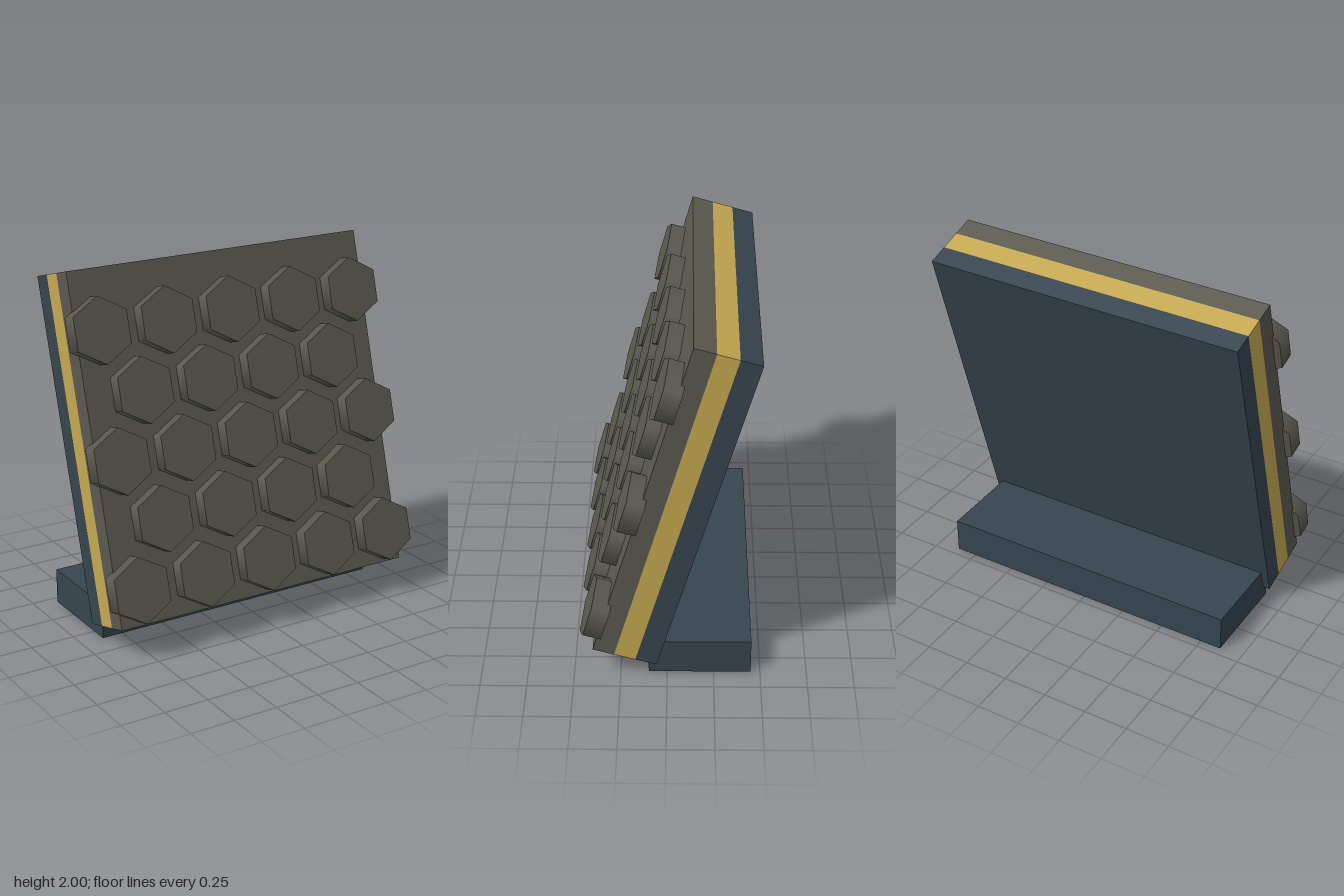
import * as THREE from 'three';

const mat = (name, color) => {
  const m = new THREE.MeshStandardMaterial({ color });
  m.name = name;
  return m;
};

export function createModel() {
  const group = new THREE.Group();
  group.name = 'layeredArmorPanel';
  const grey = mat('olive grey', 0x5b5a50);
  const gold = mat('brass', 0xc5a950);
  const slate = mat('dark slate', 0x36454f);

  const add = (parent, name, geometry, material, x, y, z) => {
    const mesh = new THREE.Mesh(geometry, material);
    mesh.name = name;
    mesh.position.set(x, y, z);
    parent.add(mesh);
    return mesh;
  };

  // Foot block behind the panel
  add(group, 'base', new THREE.BoxGeometry(1.74, 0.2, 0.55), slate, 0, 0.1, -0.175);

  // Panel leaning back, made of three bonded layers
  const panel = new THREE.Group();
  panel.name = 'leaningPanel';
  panel.position.set(0, 1.04, -0.035);
  panel.rotation.x = -0.28;
  group.add(panel);

  const thick = 0.118;
  const layer = new THREE.BoxGeometry(1.82, 1.9, thick);
  add(panel, 'frontLayer', layer, grey, 0, 0, thick);
  add(panel, 'middleLayer', layer, gold, 0, 0, 0);
  add(panel, 'backLayer', layer, slate, 0, 0, -thick);

  // Staggered hexagonal tiles: rows of five and four, points up
  const pitch = 0.397;
  const rowStep = pitch * Math.sqrt(3) / 2;
  const depth = 0.1;
  const tile = new THREE.CylinderGeometry(0.18, 0.18, depth, 6).rotateX(Math.PI / 2);
  for (let row = -2; row <= 2; row++) {
    const count = row % 2 === 0 ? 5 : 4;
    for (let i = 0; i < count; i++) {
      const x = (i - (count - 1) / 2) * pitch;
      add(panel, 'hexTile', tile, grey, x, row * rowStep - 0.064, 0.259 - depth / 2);
    }
  }
  return group;
}
